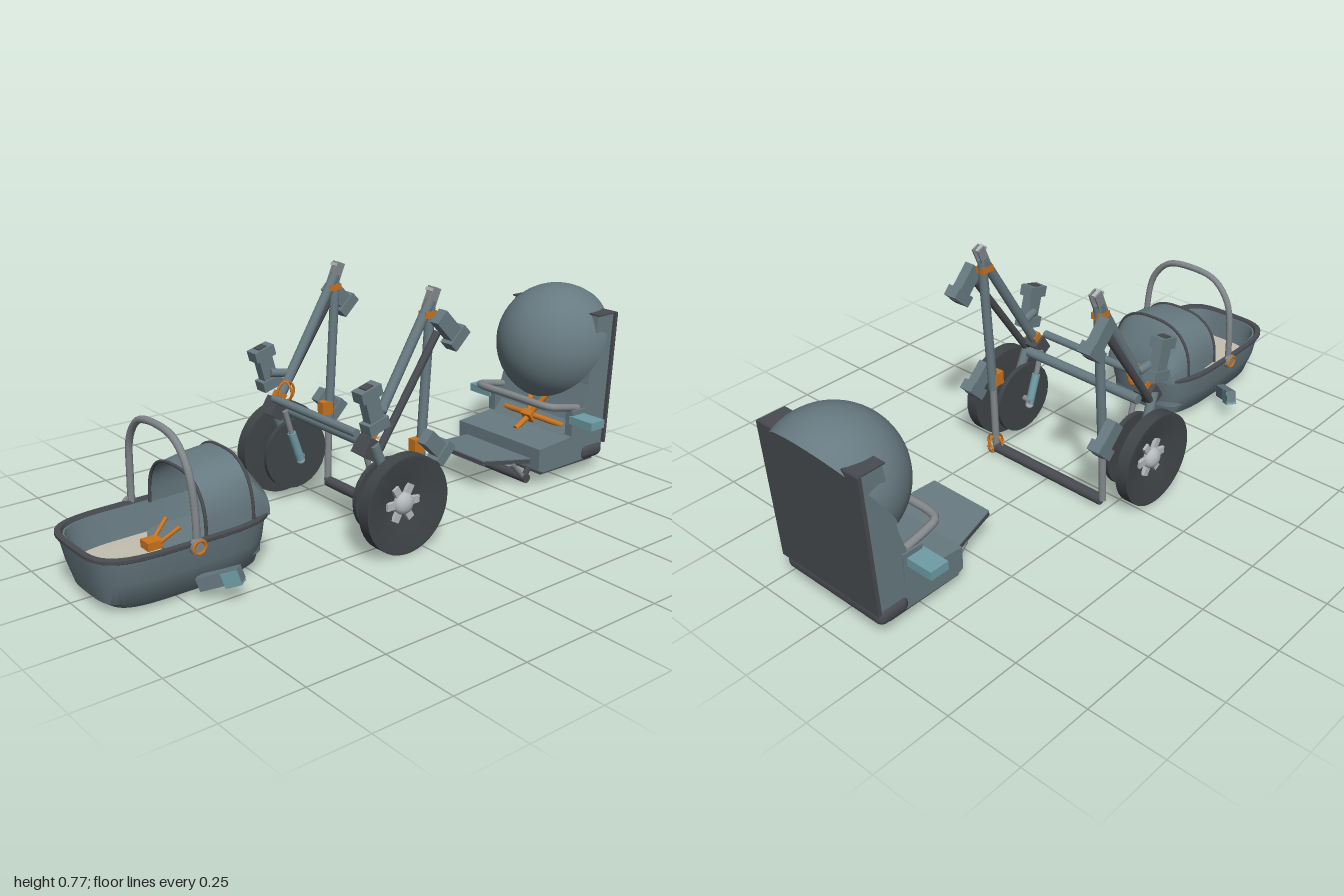
import * as THREE from 'three';
import { toCreasedNormals } from 'three/addons/utils/BufferGeometryUtils.js';
import { RoundedBoxGeometry } from 'three/addons/geometries/RoundedBoxGeometry.js';

const mat = (name, color, side = THREE.FrontSide) => {
  const m = new THREE.MeshStandardMaterial({ color, side });
  m.name = name;
  return m;
};
const V = (x, y, z) => new THREE.Vector3(x, y, z);
const MID = 0.025; // z centre line of carrycot and seat

export function createModel() {
  const slate = mat('slate', 0x677a81, THREE.DoubleSide);
  const dark = mat('charcoal', 0x484b50);
  const tyreMat = mat('tyre', 0x404548);
  const grey = mat('grey metal', 0x83888c);
  const silver = mat('silver', 0xb4b9bc);
  const teal = mat('teal', 0x6f9da6);
  const orange = mat('orange', 0xc8741f);
  const cream = mat('cream', 0xc4bfb0);

  const model = new THREE.Group();
  model.name = 'strollerSet';
  const group = (name) => {
    const g = new THREE.Group();
    g.name = name;
    model.add(g);
    return g;
  };
  const add = (g, name, geo, m, p = [0, 0, 0], r = [0, 0, 0]) => {
    const mesh = new THREE.Mesh(geo, m);
    mesh.name = name;
    mesh.position.set(...p);
    mesh.rotation.set(...r);
    g.add(mesh);
    return mesh;
  };
  const box = (g, name, size, p, m, rz = 0, ry = 0) =>
    add(g, name, new THREE.BoxGeometry(...size), m, p, [0, ry, rz]);
  // straight rod between two points
  const rod = (g, name, a, b, r, m) => {
    const A = V(...a), B = V(...b), d = B.clone().sub(A);
    const mesh = add(g, name, new THREE.CylinderGeometry(r, r, d.length(), 24), m);
    mesh.position.copy(A).add(B).multiplyScalar(0.5);
    mesh.quaternion.setFromUnitVectors(V(0, 1, 0), d.normalize());
  };
  const bentTube = (g, name, pts, r, m) => add(g, name, new THREE.TubeGeometry(
    new THREE.CatmullRomCurve3(pts.map((p) => V(...p)), false, 'centripetal'), 40, r, 10), m);
  // skin over rows of points
  const loft = (rows) => {
    const n = rows[0].length, pos = rows.flat(2), idx = [];
    for (let i = 0; i < rows.length - 1; i++) for (let j = 0; j < n - 1; j++) {
      const a = i * n + j, b = a + n;
      idx.push(a, b, a + 1, b, b + 1, a + 1);
    }
    const geo = new THREE.BufferGeometry();
    geo.setAttribute('position', new THREE.Float32BufferAttribute(pos, 3));
    geo.setIndex(idx);
    geo.computeVertexNormals();
    return toCreasedNormals(geo, 0.6);
  };
  const power = (v, e) => Math.sign(v) * Math.abs(v) ** e;
  // rounded-rectangle ring: centre x, half length, half width, height
  const ring = ([cx, a, b, y]) => Array.from({ length: 49 }, (_, i) => {
    const t = (i / 48) * Math.PI * 2;
    return [cx + a * power(Math.cos(t), 0.5), y, MID + b * power(Math.sin(t), 0.5)];
  });

  // ---------- Carrycot ----------
  const cot = group('carrycot');
  add(cot, 'cotShell', loft([[-0.71, 0.001, 0.001, 0], [-0.71, 0.215, 0.12, 0.002], [-0.71, 0.25, 0.15, 0.03],
    [-0.712, 0.268, 0.172, 0.1], [-0.715, 0.279, 0.182, 0.17], [-0.715, 0.262, 0.165, 0.172],
    [-0.715, 0.24, 0.14, 0.05], [-0.715, 0.001, 0.001, 0.05]].map(ring)), slate);
  add(cot, 'cotRim', loft([[-0.715, 0.28, 0.184, 0.166], [-0.715, 0.286, 0.19, 0.17], [-0.715, 0.286, 0.19, 0.179],
    [-0.715, 0.27, 0.174, 0.181], [-0.715, 0.264, 0.168, 0.166]].map(ring)), dark);
  add(cot, 'mattress', loft([[-0.715, 0.243, 0.144, 0.05], [-0.715, 0.243, 0.144, 0.085],
    [-0.715, 0.001, 0.001, 0.088]].map(ring)), cream);
  add(cot, 'headLining', loft([[-0.585, 0.135, 0.146, 0.06], [-0.585, 0.135, 0.146, 0.097],
    [-0.585, 0.001, 0.001, 0.099]].map(ring)), slate);
  // arched hood
  const arch = ([x, w, h]) => Array.from({ length: 21 }, (_, i) => {
    const t = (i / 20) * Math.PI;
    return [x, 0.17 + h * power(Math.sin(t), 0.75), MID + w * power(Math.cos(t), 0.75)];
  });
  add(cot, 'cotHood', loft([[-0.668, 0.155, 0.16], [-0.59, 0.158, 0.175], [-0.513, 0.158, 0.183],
    [-0.444, 0.14, 0.085], [-0.433, 0.12, 0.02], [-0.433, 0.001, 0.001]].map(arch)), slate);
  for (const h of [[-0.668, 0.156, 0.161], [-0.513, 0.158, 0.183]])
    bentTube(cot, 'hoodTrim', arch(h), 0.005, dark);
  // carry handle
  bentTube(cot, 'carryHandle', [[-0.715, 0.15, 0.207], [-0.715, 0.26, 0.205], [-0.72, 0.38, 0.185], [-0.722, 0.45, 0.125],
    [-0.722, 0.467, MID], [-0.722, 0.45, -0.075], [-0.72, 0.38, -0.135], [-0.715, 0.26, -0.155], [-0.715, 0.15, -0.157]], 0.011, grey);
  // harness
  box(cot, 'cotBuckle', [0.05, 0.025, 0.045], [-0.75, 0.115, 0.02], orange);
  for (const s of [-1, 1]) {
    rod(cot, 'cotStrap', [-0.74, 0.115, 0.02 + s * 0.015], [-0.68, 0.16, 0.02 + s * 0.04], 0.006, orange);
    const z = MID + s * 0.19;
    rod(cot, 'handleButton', [-0.715, 0.165, z - 0.008], [-0.715, 0.165, z + 0.008], 0.025, grey);
    add(cot, 'buttonRing', new THREE.TorusGeometry(0.019, 0.005, 8, 24), orange, [-0.715, 0.165, z + s * 0.007]);
    // docking arms
    box(cot, 'cotArm', [0.13, 0.04, 0.03], [-0.665, 0.065, MID + s * 0.215], slate, 0.35, -s * 0.9);
    box(cot, 'cotClip', [0.05, 0.045, 0.035], [-0.643, 0.073, MID + s * 0.245], teal, 0.35, -s * 0.9);
  }

  // ---------- Chassis ----------
  const frame = group('chassis');
  // wheel with a deep dished outer face (outer side is +y)
  const wheelGeo = toCreasedNormals(new THREE.LatheGeometry([[0, -0.018], [0.05, -0.018], [0.145, -0.0225], [0.155, -0.0215],
    [0.155, 0.0215], [0.148, 0.0225], [0.05, -0.012], [0, -0.012]].map((p) => new THREE.Vector2(...p)), 48), 0.5);
  // spool-shaped adaptor: side, centre, length, tilt, which ends have flanges
  const spool = (s, x, y, len, tilt, ends) => {
    const g = new THREE.Group();
    g.name = 'adaptor';
    g.position.set(x, y, s * 0.267);
    g.rotation.z = tilt;
    frame.add(g);
    box(g, 'adaptorCore', [0.05, len, 0.035], [0, 0, 0], slate);
    for (const e of ends) {
      box(g, 'adaptorFlange', [0.075, 0.035, 0.047], [0, e * (len / 2 - 0.017), 0], slate);
      box(g, 'adaptorSocket', [0.03, 0.004, 0.03], [0, e * (len / 2 + 0.002), 0], dark);
    }
  };
  for (const s of [-1, 1]) {
    const z = s * 0.23;
    add(frame, 'wheel', wheelGeo, tyreMat, [-0.07, 0.155, s * 0.3175], [s * Math.PI / 2, 0, 0]);
    add(frame, 'hub', new THREE.SphereGeometry(0.035, 24, 16), silver, [-0.07, 0.155, s * 0.315]).scale.z = 0.7;
    for (let i = 0; i < 6; i++) {
      const a = (i / 6) * Math.PI * 2;
      box(frame, 'spoke', [0.03, 0.023, 0.016], [-0.07 + 0.047 * Math.cos(a), 0.155 + 0.047 * Math.sin(a), s * 0.31], silver, a);
    }
    rod(frame, 'axle', [-0.07, 0.155, s * 0.19], [-0.07, 0.155, s * 0.315], 0.01, grey);
    // inner disc of the wheel
    rod(frame, 'innerDisc', [-0.07, 0.155, s * 0.223], [-0.07, 0.155, s * 0.239], 0.12, tyreMat);
    // suspension fork
    rod(frame, 'forkEnd', [-0.07, 0.165, s * 0.258], [-0.07, 0.165, s * 0.282], 0.042, slate);
    rod(frame, 'forkArm', [-0.14, 0.34, s * 0.262], [-0.07, 0.165, s * 0.268], 0.016, slate);
    rod(frame, 'damper', [-0.105, 0.24, s * 0.2], [-0.07, 0.14, s * 0.2], 0.014, teal);
    rod(frame, 'damperRod', [-0.13, 0.32, s * 0.2], [-0.1, 0.22, s * 0.2], 0.009, grey);
    add(frame, 'damperFoot', new THREE.SphereGeometry(0.014, 16, 12), silver, [-0.07, 0.138, s * 0.2]);
    // legs and push rods
    rod(frame, 'rearLeg', [0.1, 0.73, z], [-0.15, 0.32, z], 0.016, slate);
    rod(frame, 'pushRod', [0.1, 0.64, s * 0.262], [-0.12, 0.32, s * 0.262], 0.012, dark);
    rod(frame, 'frontLeg', [0.1, 0.72, z], [0.07, 0.25, z], 0.015, slate);
    rod(frame, 'frontLegLower', [0.07, 0.27, z], [0.063, 0.025, z], 0.012, grey);
    box(frame, 'rearLegFoot', [0.06, 0.05, 0.06], [-0.145, 0.325, s * 0.235], dark, 1);
    // top hinge
    for (const d of [-1, 1]) box(frame, 'hingeCheek', [0.03, 0.07, 0.005], [0.102, 0.735, z + d * 0.011], grey, -0.4);
    box(frame, 'hingeCap', [0.03, 0.01, 0.026], [0.105, 0.76, z], silver, -0.4);
    box(frame, 'hingeCollar', [0.045, 0.02, 0.032], [0.09, 0.69, z], orange);
    box(frame, 'rearCollar', [0.045, 0.03, 0.036], [-0.135, 0.355, z], orange, 1);
    box(frame, 'frontCollar', [0.04, 0.045, 0.03], [0.055, 0.285, z], orange);
    // adaptors
    spool(s, 0.14, 0.645, 0.12, 0.76, [-1]);
    spool(s, -0.155, 0.455, 0.14, 0.27, [-1, 1]);
    spool(s, 0.095, 0.285, 0.11, 0.8, [-1]);
    rod(frame, 'adaptorLink', [-0.15, 0.44, s * 0.25], [-0.085, 0.43, s * 0.24], 0.014, slate);
  }
  // cross bars
  rod(frame, 'rearCrossBar', [-0.163, 0.365, -0.21], [-0.163, 0.365, 0.21], 0.013, slate);
  rod(frame, 'middleCrossBar', [-0.105, 0.315, -0.23], [-0.105, 0.315, 0.23], 0.017, slate);
  rod(frame, 'frontCrossBar', [0.063, 0.022, -0.225], [0.063, 0.022, 0.225], 0.018, dark);
  // brake rings
  for (const p of [[0.065, 0.037, 0.232], [-0.125, 0.385, -0.2]])
    for (const ry of [0, Math.PI / 2])
      add(frame, 'brakeRing', new THREE.TorusGeometry(0.032, 0.004, 8, 28), orange, p, [0, ry, 0]);

  // ---------- Seat ----------
  const seat = group('seat');
  const side = new THREE.Shape([[0.615, 0.135], [0.615, 0.06], [0.64, 0.048], [0.915, 0.052], [0.93, 0.085], [0.955, 0.555],
    [0.875, 0.555], [0.84, 0.32], [0.8, 0.19], [0.76, 0.145]].map((p) => new THREE.Vector2(...p)));
  add(seat, 'seatShell', new THREE.ExtrudeGeometry(side, { depth: 0.39, bevelEnabled: false }), slate, [0, 0, MID - 0.195]);
  box(seat, 'backPanel', [0.012, 0.465, 0.41], [0.945, 0.327, MID], dark, -0.053);
  box(seat, 'backTop', [0.09, 0.005, 0.405], [0.915, 0.558, MID], dark);
  add(seat, 'backBumper', new RoundedBoxGeometry(0.11, 0.055, 0.41, 4, 0.024), dark, [0.878, 0.073, MID]);
  box(seat, 'seatUnderside', [0.26, 0.008, 0.38], [0.76, 0.045, MID], dark);
  // hemispherical canopy, tipped forward
  add(seat, 'canopy', new THREE.SphereGeometry(0.209, 40, 16, 0, Math.PI * 2, 0, Math.PI / 2), slate, [0.885, 0.425, MID], [0, 0, 0.983]);
  // footrest
  const rest = new THREE.Shape([[0.425, -0.117], [0.615, -0.155], [0.615, 0.155], [0.425, 0.117]].map((p) => new THREE.Vector2(p[0] - 0.52, p[1])));
  const restGeo = (depth) => new THREE.ExtrudeGeometry(rest, { depth, bevelEnabled: false }).rotateX(-Math.PI / 2);
  add(seat, 'footrestTop', restGeo(0.004), slate, [0.52, 0.102, MID], [0, 0, -0.13]);
  add(seat, 'footrestBase', restGeo(0.014), dark, [0.519, 0.088, MID], [0, 0, -0.13]);
  rod(seat, 'footrestHinge', [0.607, 0.02, MID - 0.15], [0.607, 0.02, MID + 0.15], 0.016, dark);
  // bumper bar
  bentTube(seat, 'bumperBar', [[0.81, 0.24, 0.205], [0.73, 0.257, 0.205], [0.69, 0.264, 0.197], [0.677, 0.266, 0.17], [0.675, 0.267, MID],
    [0.677, 0.266, -0.12], [0.69, 0.264, -0.147], [0.73, 0.257, -0.155], [0.81, 0.24, -0.155]], 0.013, grey);
  for (const s of [-1, 1]) {
    rod(seat, 'footrestStrut', [0.545, 0.085, MID + s * 0.135], [0.607, 0.02, MID + s * 0.135], 0.009, grey);
    rod(seat, 'hingeArm', [0.607, 0.02, MID + s * 0.135], [0.64, 0.07, MID + s * 0.135], 0.01, dark);
    box(seat, 'seatClip', [0.065, 0.028, 0.1], [0.79, 0.21, MID + s * 0.242], teal);
    box(seat, 'armBlock', [0.07, 0.09, 0.03], [0.8, 0.195, MID + s * 0.185], slate);
    // harness straps
    rod(seat, 'shoulderStrap', [0.84, 0.31, MID + s * 0.07], [0.768, 0.18, MID], 0.01, orange);
    rod(seat, 'waistStrap', [0.79, 0.168, MID + s * 0.14], [0.768, 0.18, MID], 0.01, orange);
  }
  rod(seat, 'crotchStrap', [0.7, 0.14, MID], [0.768, 0.175, MID], 0.01, orange);
  box(seat, 'seatBuckle', [0.025, 0.04, 0.045], [0.765, 0.175, MID], orange, 0.6);

  return model;
}
